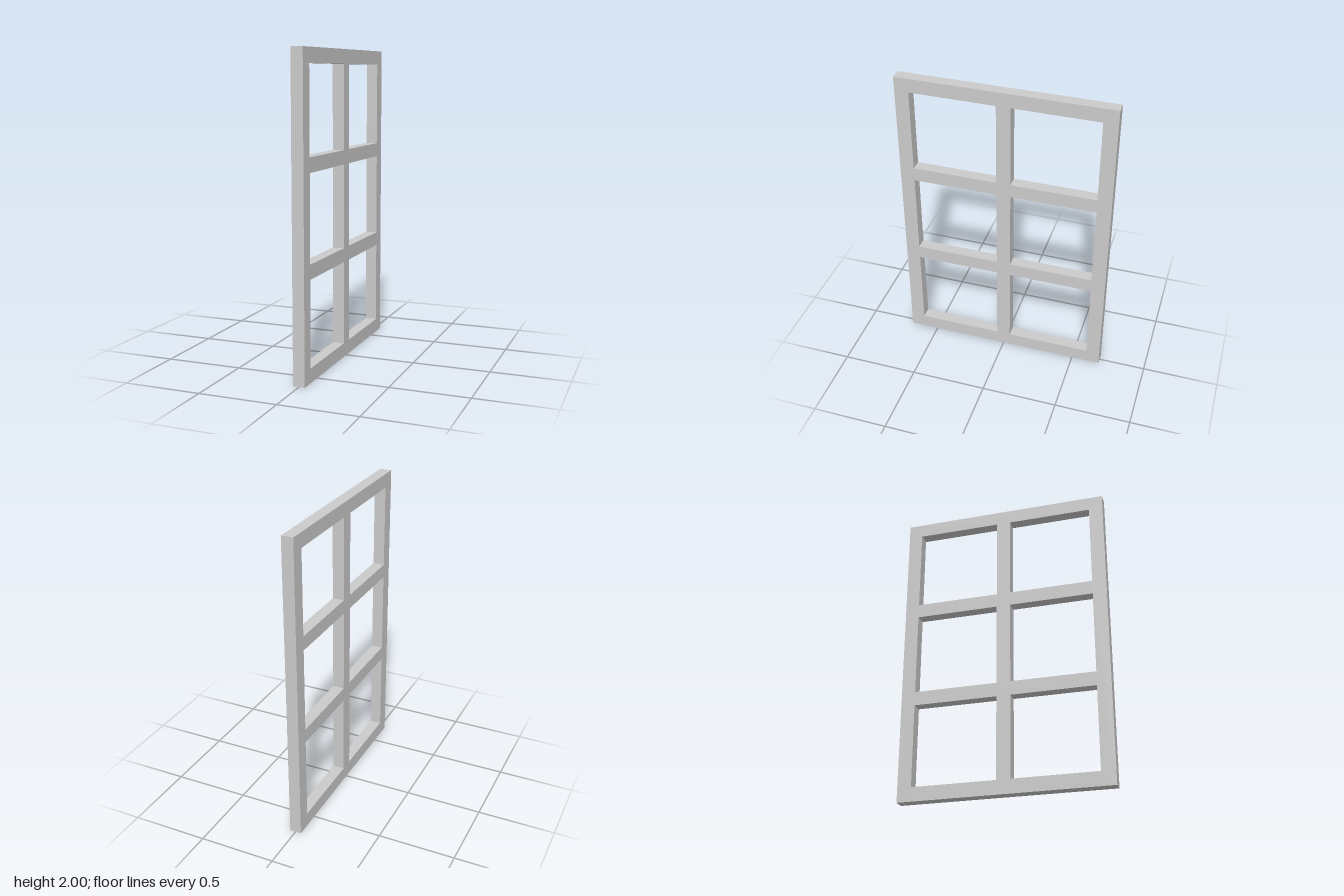
import * as THREE from 'three';

const HEIGHT = 2, WIDTH = 1.38, DEPTH = 0.076, BAR = 0.092;
const COLS = 2, ROWS = 3;

// Counter-clockwise rectangle from its lower-left corner
function rectangle(PathType, x, y, w, h) {
  return new PathType([[x, y], [x + w, y], [x + w, y + h], [x, y + h]]
    .map(([px, py]) => new THREE.Vector2(px, py)));
}

export function createModel() {
  const group = new THREE.Group();
  group.name = 'windowFrame';

  // Outer frame with a grid of equal pane openings
  const paneW = (WIDTH - BAR * (COLS + 1)) / COLS;
  const paneH = (HEIGHT - BAR * (ROWS + 1)) / ROWS;
  const outline = rectangle(THREE.Shape, -WIDTH / 2, 0, WIDTH, HEIGHT);
  for (let c = 0; c < COLS; c++) {
    for (let r = 0; r < ROWS; r++) {
      const x = -WIDTH / 2 + BAR + c * (paneW + BAR);
      const y = BAR + r * (paneH + BAR);
      outline.holes.push(rectangle(THREE.Path, x, y, paneW, paneH));
    }
  }

  // Extrude to thickness, then turn the frame to span the z axis
  const geometry = new THREE.ExtrudeGeometry(outline, { depth: DEPTH, bevelEnabled: false });
  geometry.translate(0, 0, -DEPTH / 2);
  geometry.rotateY(Math.PI / 2);

  const frame = new THREE.Mesh(geometry, new THREE.MeshStandardMaterial({ color: 0xcccccc }));
  frame.name = 'frameAndGlazingBars';
  group.add(frame);
  return group;
}
